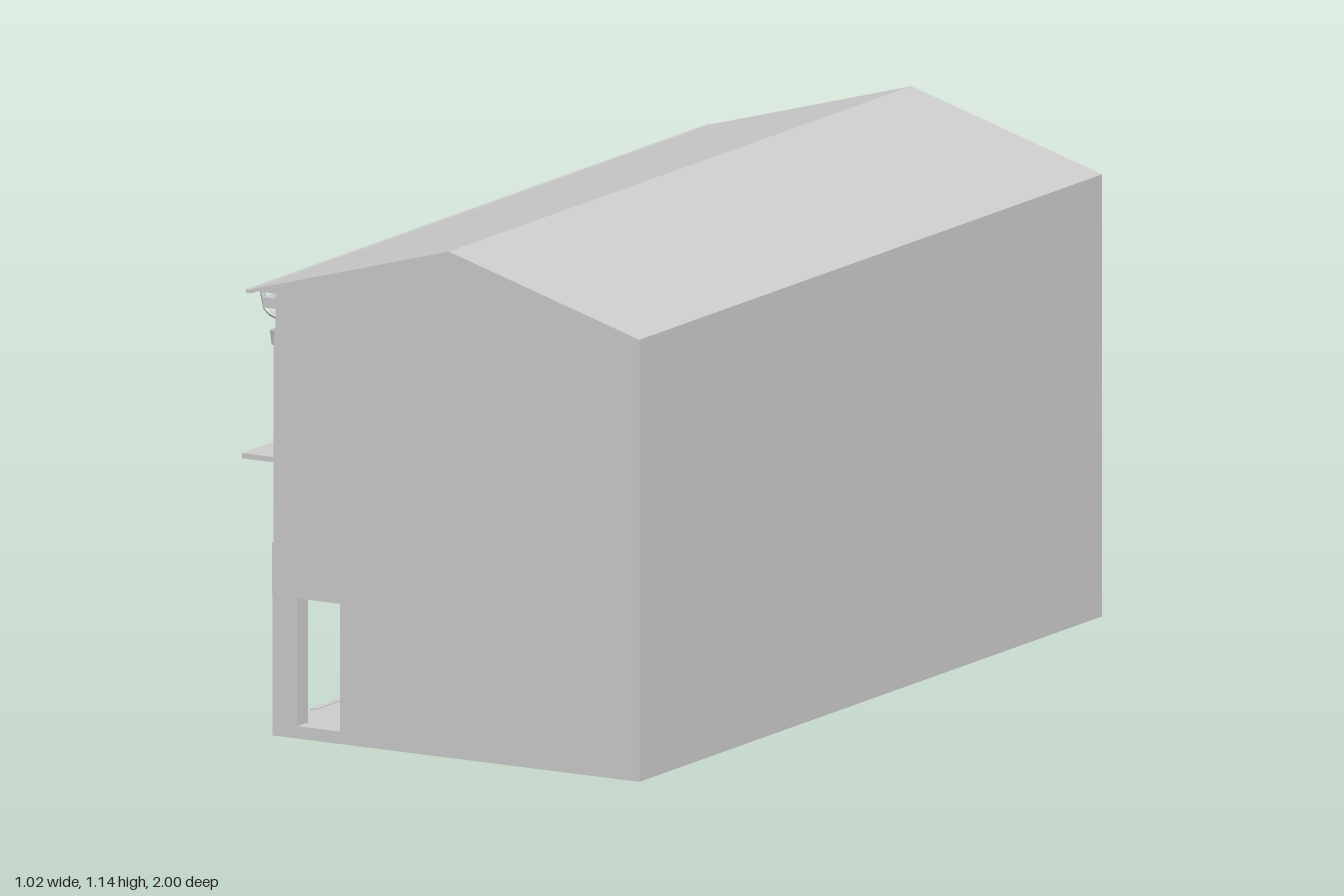
import * as THREE from 'three';

const mat = new THREE.MeshStandardMaterial({ color: 0xcccccc, flatShading: true, side: THREE.DoubleSide });

function add(parent, name, geo) {
  const m = new THREE.Mesh(geo, mat);
  m.name = name;
  parent.add(m);
  return m;
}

// Box given by its minimum and maximum on each axis
function box(parent, name, x0, x1, y0, y1, z0, z1) {
  const m = add(parent, name, new THREE.BoxGeometry(x1 - x0, y1 - y0, z1 - z0));
  m.position.set((x0 + x1) / 2, (y0 + y1) / 2, (z0 + z1) / 2);
  return m;
}

const poly = (pts) => new THREE.Shape(pts.map(([x, y]) => new THREE.Vector2(x, y)));
const rect = (x0, x1, y0, y1) => poly([[x0, y0], [x1, y0], [x1, y1], [x0, y1]]);
const extrude = (shape, depth) => new THREE.ExtrudeGeometry(shape, { depth, bevelEnabled: false });

// Wall drawn in (z, y), extruded outwards to -x from the plane x
function streetWall(parent, name, shape, x, depth) {
  const m = add(parent, name, extrude(shape, depth));
  m.rotation.y = -Math.PI / 2;
  m.position.x = x;
  return m;
}

// Louvred shutter leaf hinged at z; side = +1 or -1 is where the hinge lies
function shutter(parent, z, y0, y1, side, angle) {
  const w = 0.042, h = y1 - y0, leaf = new THREE.Group();
  leaf.name = 'shutter';
  const frame = rect(0, w, 0, h);
  frame.holes.push(rect(0.007, w - 0.007, 0.008, h / 2 - 0.004), rect(0.007, w - 0.007, h / 2 + 0.004, h - 0.008));
  add(leaf, 'shutterFrame', extrude(frame, 0.005));
  for (let i = 0; i < 8; i++) {
    const slat = add(leaf, 'slat', new THREE.BoxGeometry(w - 0.012, 0.009, 0.0015));
    slat.position.set(w / 2, 0.012 + (i + 0.35) * (h - 0.02) / 8, 0.0025);
    slat.rotation.x = 0.5;
  }
  // closed leaf points to the window centre, open leaf swings out to -x
  leaf.rotation.y = side > 0 ? Math.PI / 2 + angle : -Math.PI / 2 - angle;
  leaf.position.set(-0.428, y0, z);
  parent.add(leaf);
}

export function createModel() {
  const house = new THREE.Group();
  house.name = 'terraceHouse';
  const front = -0.425, back = 0.51;

  // Base slab, ground floor rooms and upper storeys
  box(house, 'floorSlab', front - 0.008, back, 0, 0.026, -1, 1);
  box(house, 'groundFloor', -0.258, back, 0.02, 0.32, -0.999, 0.999);
  box(house, 'upperStoreys', -0.4, back, 0.32, 1, -0.999, 0.999);

  // Gable end walls with an opening onto the arcade
  for (const z of [-1, 0.96]) {
    const gable = poly([[front, 0], [back, 0], [back, 1], [front, 1]]);
    gable.holes.push(rect(-0.37, -0.26, 0.028, 0.317));
    add(house, 'gableWall', extrude(gable, 0.04)).position.z = z;
  }

  // Roof prism with eave over the street side
  const roof = poly([[-0.5, 1], [back, 1], [0.02, 1.145]]);
  add(house, 'roof', extrude(roof, 2)).position.z = -1;
  box(house, 'eaveBoard', -0.502, -0.488, 0.994, 1.002, -1, 1);

  // Street wall with window openings, two per bay on both storeys
  const rows = [[0.445, 0.555], [0.76, 0.87]];
  const half = 0.044;
  const centres = Array.from({ length: 8 }, (_, i) => -0.875 + i * 0.25);
  const wall = rect(-1, 1, 0.32, 1);
  for (const [y0, y1] of rows) for (const c of centres) wall.holes.push(rect(c - half, c + half, y0, y1));
  streetWall(house, 'streetWall', wall, -0.4, 0.025);
  box(house, 'arcadeBeam', -0.434, front, 0.32, 0.437, -1, 1);

  // Windows: mullions in the opening and a pair of shutters
  const windows = new THREE.Group();
  windows.name = 'windows';
  house.add(windows);
  rows.forEach(([y0, y1], r) => centres.forEach((c, i) => {
    box(windows, 'mullion', -0.416, -0.41, y0, y1, c - 0.004, c + 0.004);
    for (const t of [0.33, 0.67]) {
      const y = y0 + t * (y1 - y0);
      box(windows, 'glazingBar', -0.415, -0.411, y - 0.002, y + 0.002, c - half, c + half);
    }
    for (const s of [-1, 1]) {
      const closed = r === 1 && (i * 3 + s) % 4 === 1;
      shutter(windows, c + s * half, y0, y1, s, closed ? 0.05 : Math.PI / 2 - 0.25 * ((i + r) % 2));
    }
  }));

  // Canopy ledge and the framed panel above it
  box(house, 'canopy', -0.512, front, 0.618, 0.63, -1, 1);
  const panel = rect(-0.5, 0.67, 0.64, 0.695);
  panel.holes.push(rect(-0.49, 0.66, 0.648, 0.664), rect(-0.49, 0.66, 0.671, 0.687));
  streetWall(house, 'panelFrame', panel, front, 0.006);

  // Arcade pillars
  for (const z of [-0.5, 0, 0.5]) box(house, 'pillar', -0.433, -0.37, 0.02, 0.322, z - 0.036, z + 0.036);
  for (const s of [-1, 1]) {
    const z = s * 0.976;
    box(house, 'endPillar', -0.433, -0.37, 0.02, 0.322, z - 0.024, z + 0.024);
  }

  for (let i = 0; i < 4; i++) {
    const c = -0.75 + i * 0.5;
    // Entrance steps
    box(house, 'lowerStep', -0.456, front, 0, 0.012, c - 0.09, c + 0.09);
    box(house, 'upperStep', -0.44, front, 0, 0.028, c - 0.075, c + 0.075);
    // Panelled double door and side windows on the arcade wall
    const door = rect(c - 0.085, c + 0.085, 0.026, 0.285);
    for (const s of [-1, 1]) for (const [y0, y1] of [[0.045, 0.11], [0.125, 0.19], [0.205, 0.27]]) {
      const a = c + s * 0.042;
      door.holes.push(rect(a - 0.03, a + 0.03, y0, y1));
    }
    streetWall(house, 'door', door, -0.258, 0.006);
    for (const s of [-1, 1]) {
      const w = c + s * 0.165, frame = rect(w - 0.05, w + 0.05, 0.12, 0.28);
      for (const t of [-1, 1]) for (const y of [0.13, 0.204])
        frame.holes.push(rect(w + t * 0.023 - 0.018, w + t * 0.023 + 0.018, y, y + 0.066));
      streetWall(house, 'arcadeWindow', frame, -0.258, 0.006);
    }
  }

  // Corner pilasters, corbels and rainwater pipes at both ends
  for (const s of [-1, 1]) {
    const z = s * 0.975;
    box(house, 'pilaster', -0.433, front, 0.437, 0.92, z - 0.022, z + 0.022);
    box(house, 'upperCorbel', -0.46, front, 0.965, 0.988, z - 0.022, z + 0.022);
    const corbel = add(house, 'lowerCorbel', new THREE.CylinderGeometry(0.024, 0.02, 0.033, 8));
    corbel.position.set(-0.428, 0.898, z);
    const path = new THREE.CurvePath();
    const pts = [[-0.494, 1], [-0.482, 0.945], [-0.43, 0.925], [-0.43, 0.03]]
      .map(([x, y]) => new THREE.Vector3(x, y, s * 0.945));
    for (let i = 0; i < 3; i++) path.add(new THREE.LineCurve3(pts[i], pts[i + 1]));
    add(house, 'rainPipe', new THREE.TubeGeometry(path, 60, 0.006, 6));
  }
  return house;
}
